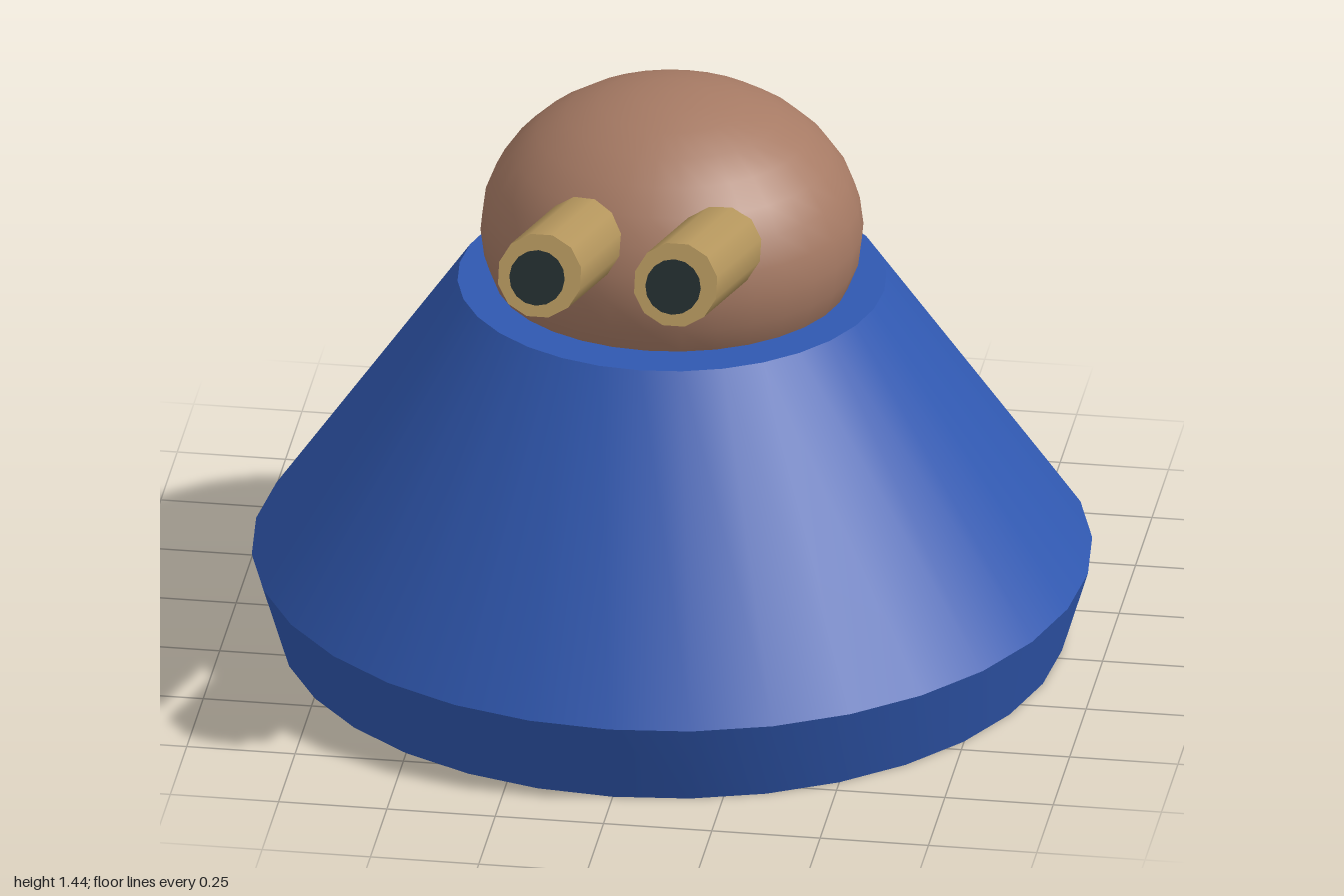
import * as THREE from 'three';
import { toCreasedNormals } from 'three/addons/utils/BufferGeometryUtils.js';

const mat = (name, color, opts = {}) =>
  Object.assign(new THREE.MeshStandardMaterial({ color, ...opts }), { name });

export function createModel() {
  const blue = mat('blue paint', 0x3058b0);
  const brown = mat('brown dome', 0xa67a64);
  const tan = mat('tan barrel', 0xb8995f);
  const dark = mat('dark muzzle', 0x222e30, { side: THREE.DoubleSide });

  const group = new THREE.Group();
  group.name = 'turret';
  const add = (parent, name, geometry, material) => {
    const mesh = new THREE.Mesh(geometry, material);
    mesh.name = name;
    parent.add(mesh);
    return mesh;
  };
  const centreZ = -0.04;

  // Tapered base with a narrow skirt and flat top
  const profile = [[0, 0], [0.9, 0], [0.96, 0.2], [0.49, 0.885], [0, 0.885]]
    .map(([r, y]) => new THREE.Vector2(r, y));
  const base = add(group, 'base', toCreasedNormals(new THREE.LatheGeometry(profile, 32), 0.27), blue);
  base.position.z = centreZ;

  // Squashed dome sunk into the base
  const dome = add(group, 'dome', new THREE.SphereGeometry(1, 32, 16), brown);
  dome.scale.set(0.438, 0.342, 0.418);
  dome.position.set(0, 1.013, centreZ);

  // Twin barrels tilted upward, running from inside the dome to the tip
  const tilt = THREE.MathUtils.degToRad(19);
  const length = 0.76;
  for (const side of [1, -1]) {
    const gun = new THREE.Group();
    gun.name = side > 0 ? 'leftGun' : 'rightGun';
    gun.position.set(side * 0.157, 1.352, 0.938);
    gun.rotation.x = Math.PI / 2 - tilt; // local y points out of the muzzle

    const barrelGeo = new THREE.CylinderGeometry(0.098, 0.098, length, 12);
    barrelGeo.rotateY(Math.PI / 12).translate(0, -length / 2, 0);
    add(gun, 'barrel', barrelGeo, tan);

    // Dark disc just ahead of the tip
    const discGeo = new THREE.CircleGeometry(0.064, 16);
    discGeo.rotateX(-Math.PI / 2).translate(0, 0.041, 0);
    add(gun, 'muzzle', discGeo, dark);
    group.add(gun);
  }
  return group;
}
